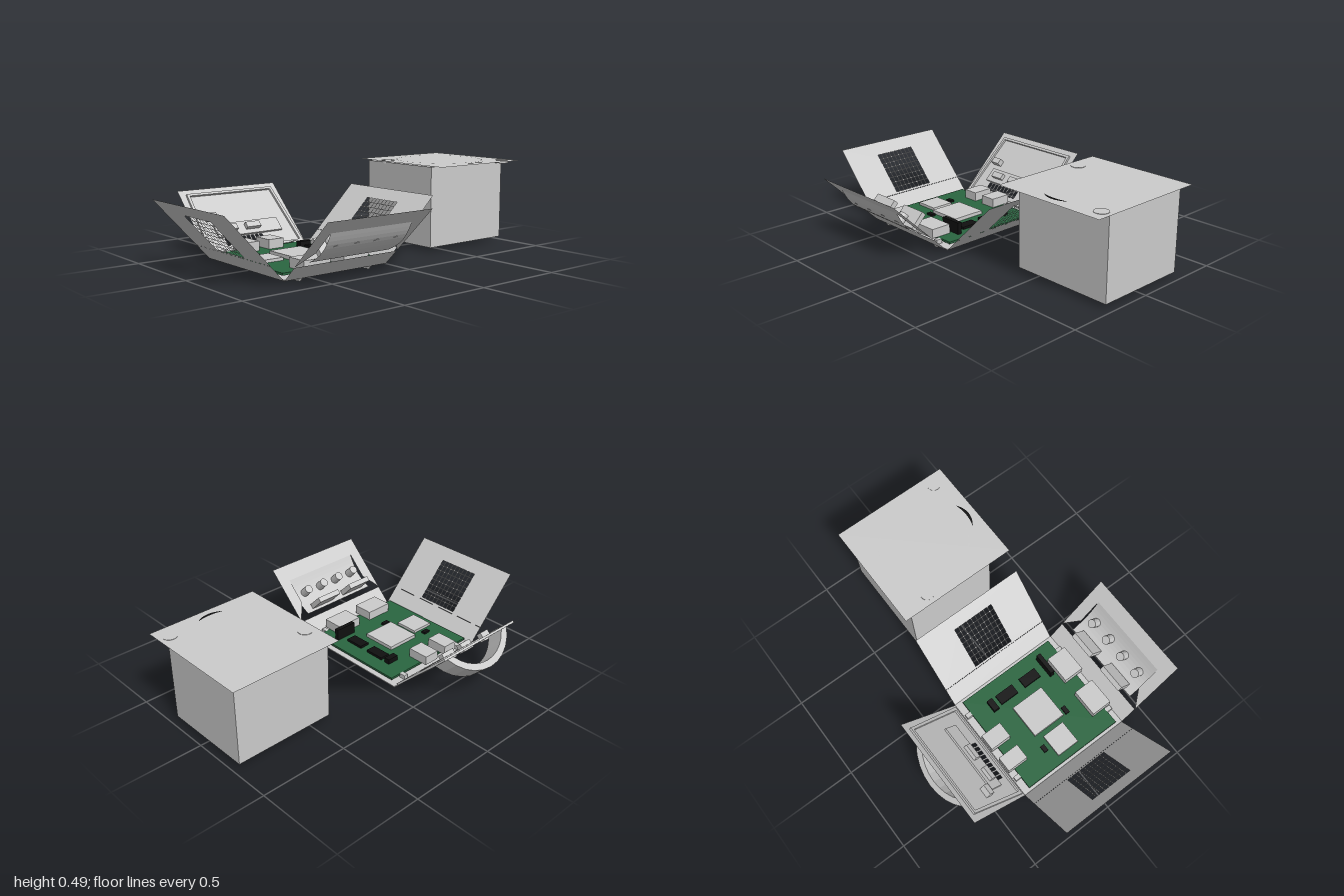
import * as THREE from 'three';

const grey = new THREE.MeshStandardMaterial({ color: 0xcccccc, side: THREE.DoubleSide });
const green = new THREE.MeshStandardMaterial({ color: 0x2a6640 });
const black = new THREE.MeshStandardMaterial({ color: 0x101010, side: THREE.DoubleSide });
for (const m of [grey, green, black]) m.flatShading = true;

const CX = -0.36, CZ = 0.0225, W = 0.64, D = 0.685, FLOOR = 0.015;

function add(parent, name, geometry, material = grey, x = 0, y = 0, z = 0) {
  const mesh = new THREE.Mesh(geometry, material);
  mesh.name = name;
  mesh.position.set(x, y, z);
  parent.add(mesh);
  return mesh;
}

// Box given by its minimum and maximum on each axis
function span(parent, name, x0, x1, y0, y1, z0, z1, material) {
  return add(parent, name, new THREE.BoxGeometry(x1 - x0, y1 - y0, z1 - z0), material,
    (x0 + x1) / 2, (y0 + y1) / 2, (z0 + z1) / 2);
}

const polygon = pts => new THREE.Shape(pts.map(p => new THREE.Vector2(...p)));
const corners = (x0, x1, y0, y1) => [[x0, y0], [x1, y0], [x1, y1], [x0, y1]];
const rect = (...r) => polygon(corners(...r));

// Opened wall: local x runs along the hinge, y up the slope, z towards the inside
function flap(root, name, x, z, yaw, tilt) {
  const g = new THREE.Group();
  g.name = name;
  g.position.set(x, FLOOR, z);
  g.rotation.set(-tilt, yaw, 0, 'YXZ');
  root.add(g);
  return g;
}

// Side wall with a grid of square vent openings
function sideFlap(root, name, x, yaw, tilt, length, v0, v1) {
  const g = flap(root, name, x, CZ, yaw, tilt);
  const panel = rect(-D / 2, D / 2, 0.112, length);
  const cols = 9, rows = 8, bar = 0.005, w = 0.255 / cols, h = (v1 - v0) / rows;
  for (let i = 0; i < cols; i++) for (let j = 0; j < rows; j++) {
    const a = -0.1275 + i * w, b = v0 + j * h;
    panel.holes.push(rect(a, a + w - bar, b, b + h - bar));
  }
  add(g, 'ventedSidePanel', new THREE.ShapeGeometry(panel));
  add(g, 'sideHingeStrip', new THREE.ShapeGeometry(rect(-D / 2, D / 2, 0, 0.111)));
}

function frontFlap(root) {
  const g = flap(root, 'frontFlap', CX, 0.365, Math.PI, 0.8);
  add(g, 'frontHingeStrip', new THREE.ShapeGeometry(rect(-0.32, 0.32, 0, 0.112)));

  // Panel with notched lower corners and an opening for the bowed centre
  const panel = polygon([[-0.32, 0.115], [-0.25, 0.215], [-0.25, 0.37], [0.25, 0.37],
    [0.25, 0.215], [0.32, 0.115], [0.32, 0.465], [-0.32, 0.465]]);
  add(g, 'frontPanel', new THREE.ShapeGeometry(panel));
  const bow = new THREE.PlaneGeometry(0.5, 0.23, 1, 10);
  const p = bow.attributes.position;
  for (let i = 0; i < p.count; i++) p.setZ(i, -0.025 * Math.cos(p.getY(i) / 0.23 * Math.PI));
  bow.computeVertexNormals();
  add(g, 'bowedSocketPanel', bow, grey, 0, 0.255, 0);

  for (let i = 0; i < 4; i++) {
    const socket = add(g, 'controllerSocket', new THREE.CylinderGeometry(0.025, 0.025, 0.06, 12),
      grey, -0.183 + i * 0.122, 0.27, 0.007);
    socket.rotation.x = Math.PI / 2;
  }
  for (const s of [-1, 1]) {
    span(g, 'cardSlot', s * 0.122 - 0.078, s * 0.122 + 0.078, 0.157, 0.187, -0.004, 0.1);
  }
}

function backFlap(root) {
  const g = flap(root, 'backFlap', CX, -0.32, 0, 0.8);
  const slots = Array.from({ length: 9 }, (_, i) => -0.175 + i * 0.028);
  const panel = rect(-0.32, 0.32, 0, 0.465);
  for (const x of slots) panel.holes.push(rect(x, x + 0.019, 0.063, 0.112));
  add(g, 'backPanel', new THREE.ShapeGeometry(panel));

  // Raised rim inside the panel
  const rim = polygon([[-0.305, 0.02], [0.305, 0.02], [0.28, 0.43], [-0.28, 0.43]]);
  rim.holes.push(polygon([[-0.285, 0.035], [0.285, 0.035], [0.265, 0.415], [-0.265, 0.415]]));
  add(g, 'innerRim', new THREE.ExtrudeGeometry(rim, { depth: 0.012, bevelEnabled: false }));

  span(g, 'connectorPlate', -0.21, 0.205, 0.118, 0.205, -0.006, 0.012);
  for (const [x0, x1, v] of [[-0.165, -0.085, 0.145], [-0.025, 0.065, 0.145], [-0.235, -0.175, 0.235]]) {
    span(g, 'connector', x0, x1, v, v + 0.035, -0.015, 0.035);
  }

  // Carry handle: a curved band standing out from the outside
  const arc = (r, half, n) => Array.from({ length: n + 1 }, (_, i) => {
    const a = half * (2 * i / n - 1);
    return [r * Math.sin(a), r * Math.cos(a) - 0.13];
  });
  const band = polygon([...arc(0.273, 1.074, 10), ...arc(0.235, 0.984, 10).reverse()]);
  const handle = add(g, 'carryHandle', new THREE.ExtrudeGeometry(band, { depth: 0.112, bevelEnabled: false }),
    grey, 0, 0.405, 0);
  handle.rotation.x = Math.PI / 2;
  handle.scale.y = -1;
  handle.position.y = 0.405;
  handle.rotation.x = Math.PI / 2;
}

function circuitBoard(root) {
  const g = new THREE.Group();
  g.name = 'circuitBoard';
  root.add(g);
  const top = 0.046;
  span(g, 'board', -0.665, -0.06, 0.034, top, -0.28, 0.33, green);
  // Large chips and edge connectors: x range, z range, top height
  for (const [x0, x1, z0, z1, y] of [
    [-0.625, -0.49, -0.045, 0.09, 0.062], [-0.46, -0.26, -0.08, 0.12, 0.066],
  ]) span(g, 'processor', x0, x1, top, y, z0, z1);
  for (const [x0, x1, z0, z1] of [
    [-0.565, -0.405, 0.245, 0.365], [-0.32, -0.16, 0.245, 0.365],
    [-0.535, -0.445, -0.32, -0.195], [-0.385, -0.29, -0.32, -0.195],
  ]) span(g, 'edgeConnector', x0, x1, top, 0.098, z0, z1);
  for (const [x0, x1, z0, z1, y] of [
    [-0.215, -0.145, -0.175, -0.14, 0.075], [-0.205, -0.145, -0.115, 0, 0.06],
    [-0.205, -0.145, 0.05, 0.16, 0.06], [-0.24, -0.11, 0.203, 0.228, 0.113],
    [-0.565, -0.525, -0.095, -0.07, 0.058], [-0.465, -0.42, 0.135, 0.16, 0.058],
  ]) span(g, 'blackChip', x0, x1, top, y, z0, z1, black);
}

function lid(root) {
  const g = new THREE.Group();
  g.name = 'lid';
  root.add(g);
  span(g, 'lidBox', 0.39, 0.965, 0.025, 0.475, -0.272, 0.253);
  const plate = add(g, 'lidPlate', new THREE.PlaneGeometry(W, D), grey, 0.68, 0.484, CZ);
  plate.rotation.x = -Math.PI / 2;
  for (const [x, z] of [[0.422, -0.138], [0.938, 0.278]]) {
    add(g, 'lidButton', new THREE.CylinderGeometry(0.038, 0.038, 0.018, 24), grey, x, 0.477, z);
  }
  const ring = add(g, 'discCoverOutline', new THREE.RingGeometry(0.246, 0.25, 48), grey, 0.68, 0.485, CZ);
  ring.rotation.x = -Math.PI / 2;

  // Dark finger recess
  const crescent = new THREE.Shape();
  crescent.moveTo(-0.08, 0.017);
  crescent.quadraticCurveTo(0, -0.042, 0.08, 0.017);
  crescent.quadraticCurveTo(0, -0.008, -0.08, 0.017);
  const recess = add(g, 'fingerRecess', new THREE.ShapeGeometry(crescent), black, 0.678, 0.486, 0.313);
  recess.rotation.x = -Math.PI / 2;
}

export function createModel() {
  const root = new THREE.Group();
  root.name = 'openedConsole';

  span(root, 'basePlate', CX - W / 2, CX + W / 2, FLOOR, FLOOR + 0.006, CZ - D / 2, CZ + D / 2);
  for (const x of [-0.58, -0.148]) for (const z of [-0.282, 0.335]) {
    const foot = add(root, 'foot', new THREE.CylinderGeometry(0.033, 0.024, 0.015, 16), grey, x, 0.0075, z);
    foot.scale.x = 0.5;
  }
  for (const x of [-0.58, -0.14]) for (const z of [-0.295, 0.345]) {
    span(root, 'boardPost', x - 0.013, x + 0.013, FLOOR, 0.046, z - 0.018, z + 0.018);
  }

  circuitBoard(root);
  sideFlap(root, 'rightFlap', CX - W / 2, Math.PI / 2, 0.75, 0.47, 0.125, 0.39);
  sideFlap(root, 'leftFlap', CX + W / 2, -Math.PI / 2, 0.8, 0.465, 0.125, 0.39);
  frontFlap(root);
  backFlap(root);
  lid(root);
  return root;
}
